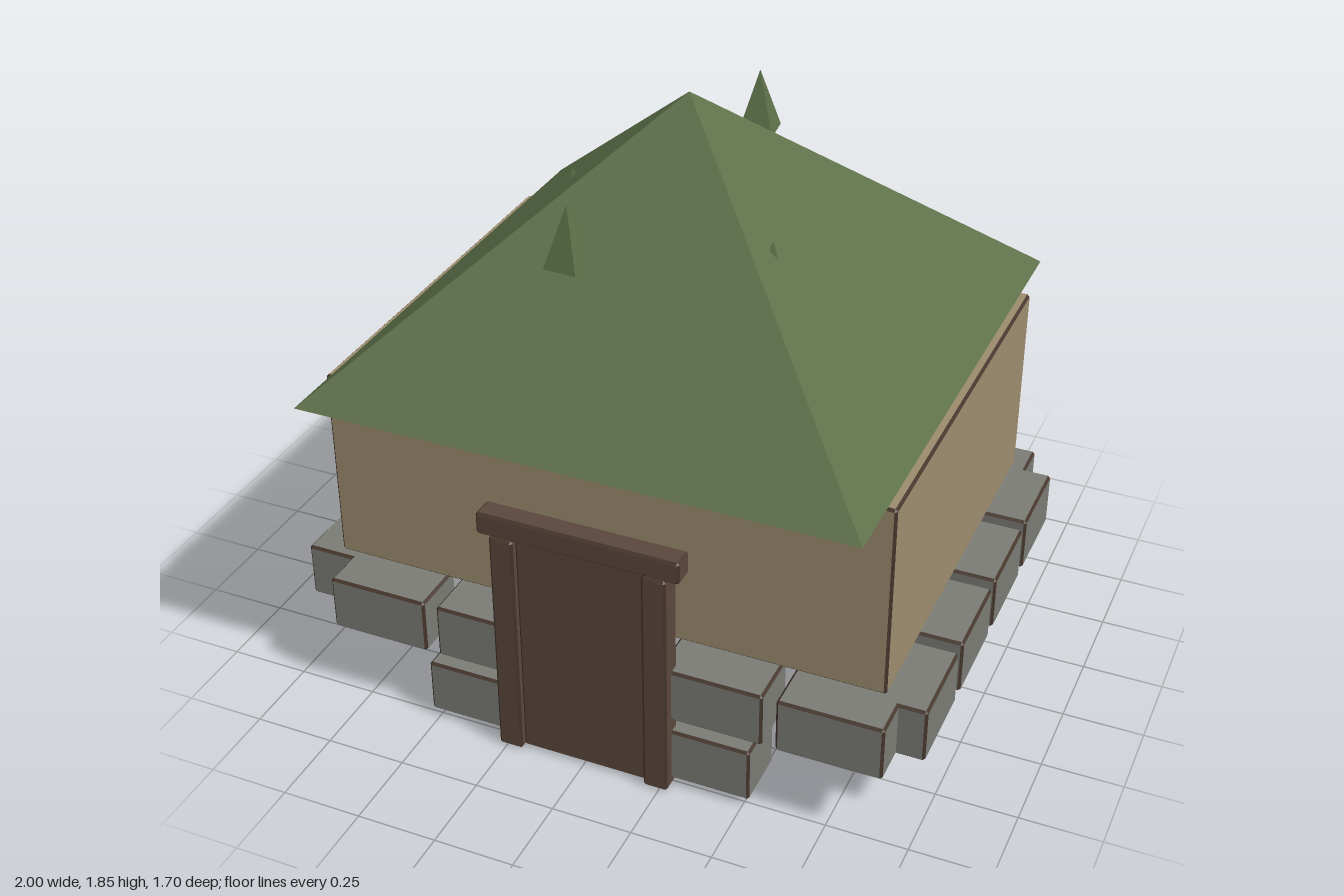
import * as THREE from 'three';
import { ConvexGeometry } from 'three/addons/geometries/ConvexGeometry.js';

const paint = (name, color) => {
  const m = new THREE.MeshStandardMaterial({ color });
  m.name = name;
  return m;
};

// Box with narrow chamfers: group 0 holds the flat faces, group 1 the chamfers.
function chamferBox(w, h, d, b) {
  const half = [w / 2, h / 2, d / 2];
  const points = [];
  for (const sx of [-1, 1]) for (const sy of [-1, 1]) for (const sz of [-1, 1]) {
    const s = [sx, sy, sz];
    for (let axis = 0; axis < 3; axis++) {
      const p = half.map((v, i) => s[i] * (i === axis ? v : v - b));
      points.push(new THREE.Vector3(...p));
    }
  }
  const hull = new ConvexGeometry(points);
  const pos = hull.attributes.position.array;
  const nor = hull.attributes.normal.array;
  const flat = [], edge = [];
  for (let i = 0; i < pos.length; i += 9) {
    const n = Math.max(Math.abs(nor[i]), Math.abs(nor[i + 1]), Math.abs(nor[i + 2]));
    (n > 0.99 ? flat : edge).push(...pos.slice(i, i + 9));
  }
  const geo = new THREE.BufferGeometry();
  geo.setAttribute('position', new THREE.Float32BufferAttribute([...flat, ...edge], 3));
  geo.computeVertexNormals();
  geo.addGroup(0, flat.length / 3, 0);
  geo.addGroup(flat.length / 3, edge.length / 3, 1);
  return geo;
}

export function createModel() {
  const model = new THREE.Group();
  model.name = 'hut';
  const plaster = paint('plaster', 0x9c8c6e);
  const stone = paint('stone', 0x7a7b74);
  const wood = paint('wood', 0x5a473c);
  const edging = paint('darkEdging', 0x45352b);
  const thatch = paint('greenRoof', 0x5d7049);
  thatch.flatShading = true;

  // Chamfered block given by its minimum and maximum corners
  const block = (parent, name, mat, lo, hi, bevel = 0.008) => {
    const size = hi.map((v, i) => v - lo[i]);
    const mesh = new THREE.Mesh(chamferBox(...size, bevel), [mat, edging]);
    mesh.position.set(...hi.map((v, i) => (v + lo[i]) / 2));
    mesh.name = name;
    parent.add(mesh);
  };

  // Four-sided pyramid with half-width r standing on y
  const pyramid = (parent, name, r, h, x, y, z, turn = 0) => {
    const geo = new THREE.ConeGeometry(r * Math.SQRT2, h, 4);
    geo.rotateY(Math.PI / 4 + turn);
    const mesh = new THREE.Mesh(geo, thatch);
    mesh.position.set(x, y + h / 2, z);
    mesh.name = name;
    parent.add(mesh);
  };

  // Walls
  block(model, 'walls', plaster, [-0.877, 0.44, -0.647], [0.877, 1.064, 0.647]);

  // Stone course around the walls
  const stones = new THREE.Group();
  stones.name = 'foundation';
  model.add(stones);
  for (let i = 0; i < 5; i++) {
    const x = -0.85 + i * 0.361;
    block(stones, 'frontStone', stone, [x, 0.24, 0.577], [x + 0.321, 0.418, 0.767]);
    block(stones, 'backStone', stone, [x, 0.24, -0.767], [x + 0.321, 0.418, -0.577]);
  }
  for (let i = 0; i < 4; i++) {
    const z = -0.648 + i * 0.334;
    block(stones, 'rightStone', stone, [-1, 0.24, z], [-0.81, 0.418, z + 0.293]);
    block(stones, 'leftStone', stone, [0.81, 0.24, z], [1, 0.418, z + 0.293]);
  }

  // Lower row of stones behind the door
  for (let i = 0; i < 3; i++) {
    const x = -0.525 + i * 0.361;
    block(stones, 'stepStone', stone, [x, 0.022, 0.577], [x + 0.321, 0.2, 0.767]);
  }

  // Door with jambs and lintel
  const door = new THREE.Group();
  door.name = 'door';
  model.add(door);
  block(door, 'doorPanel', wood, [-0.2, 0.005, 0.735], [0.2, 0.758, 0.788]);
  for (const s of [-1, 1]) {
    block(door, 'doorJamb', wood, [s * 0.237 - 0.038, 0, 0.725], [s * 0.237 + 0.038, 0.758, 0.805]);
  }
  block(door, 'lintel', wood, [-0.315, 0.757, 0.728], [0.315, 0.83, 0.802]);

  // Hipped roof
  pyramid(model, 'roof', 0.852, 0.778, 0, 1.072, 0);

  // Tufts on each slope
  const tufts = new THREE.Group();
  tufts.name = 'roofTufts';
  model.add(tufts);
  pyramid(tufts, 'backTuft', 0.053, 0.19, 0.075, 1.602, -0.355, 0.12);
  pyramid(tufts, 'frontTuft', 0.052, 0.19, -0.2, 1.445, 0.395, -0.05);
  pyramid(tufts, 'rightTuft', 0.052, 0.19, -0.436, 1.288, -0.12, 0.2);
  pyramid(tufts, 'leftTuft', 0.052, 0.19, 0.353, 1.37, 0.237, 0.3);

  return model;
}
